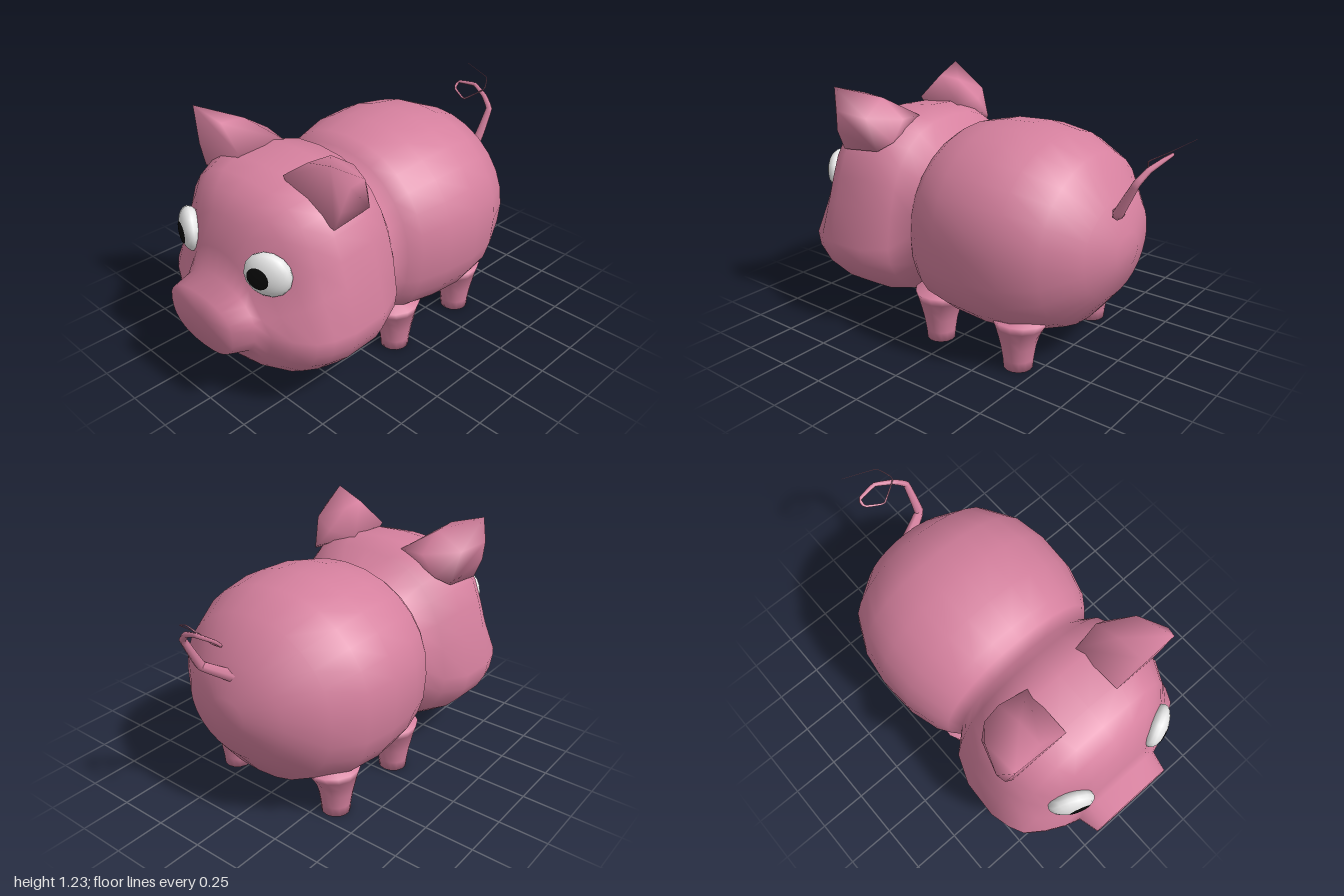
import * as THREE from 'three';
import { mergeVertices } from 'three/addons/utils/BufferGeometryUtils.js';
import { ConvexGeometry } from 'three/addons/geometries/ConvexGeometry.js';

// Skin over cross-sections, ordered back to front:
// [z, halfWidth, bottom, widestY, top, upperRoundness, lowerRoundness, pinch of the upper sides]
function loft(rings, sides = 28) {
  const pos = [], index = [];
  const bend = (v, n) => Math.sign(v) * Math.pow(Math.abs(v), 2 / n);
  for (const [z, w, bottom, mid, top, upper, lower, pinch = 0] of rings) {
    for (let j = 0; j < sides; j++) {
      const a = (j / sides) * Math.PI * 2, s = Math.sin(a);
      const n = s > 0 ? upper : lower;
      const t = bend(s, n);
      const squeeze = t > 0 ? 1 - pinch * Math.sin(Math.PI * t) : 1;
      pos.push(w * bend(Math.cos(a), n) * squeeze, mid + t * (t > 0 ? top - mid : mid - bottom), z);
    }
  }
  const last = rings.length - 1;
  for (let i = 0; i < last; i++) {
    for (let j = 0; j < sides; j++) {
      const a = i * sides + j, b = i * sides + (j + 1) % sides;
      index.push(a, b, b + sides, a, b + sides, a + sides);
    }
  }
  // end caps
  const centre = pos.length / 3;
  pos.push(0, rings[0][3], rings[0][0] - 0.005, 0, rings[last][3], rings[last][0]);
  for (let j = 0; j < sides; j++) {
    const k = (j + 1) % sides;
    index.push(centre, k, j, centre + 1, last * sides + j, last * sides + k);
  }
  const geo = new THREE.BufferGeometry();
  geo.setAttribute('position', new THREE.Float32BufferAttribute(pos, 3));
  geo.setIndex(index);
  geo.computeVertexNormals();
  return geo;
}

// Curly tail: a tube that thins towards its end
function tailGeometry() {
  const path = new THREE.CatmullRomCurve3([
    [-0.02, 0.75, -0.70], [0.13, 0.79, -0.775], [0.135, 0.95, -0.86], [0.08, 1.0, -0.885],
    [-0.01, 1.035, -0.915], [-0.112, 1.03, -0.90], [-0.112, 1.0, -0.87], [-0.02, 0.97, -0.835],
    [0.08, 1.04, -0.88], [0.04, 1.08, -0.95], [-0.13, 1.11, -0.998],
  ].map(p => new THREE.Vector3(...p)), false, 'catmullrom', 0.1);
  const steps = 60, sides = 6;
  const geo = new THREE.TubeGeometry(path, steps, 1, sides);
  const pos = geo.attributes.position, v = new THREE.Vector3();
  for (let i = 0; i <= steps; i++) {
    const u = i / steps, c = path.getPointAt(u);
    const r = 0.032 * Math.pow(1 - u, 1.9) + 0.001;
    for (let j = 0; j <= sides; j++) {
      const k = i * (sides + 1) + j;
      v.fromBufferAttribute(pos, k).sub(c).multiplyScalar(r).add(c);
      pos.setXYZ(k, v.x, v.y, v.z);
    }
  }
  return geo;
}

// Wedge-shaped ear with a flat front and a rounded back
function earGeometry(side) {
  const points = [
    [0.15, 1.08, 0.62], [0.29, 1.18, 0.60], [0.455, 1.23, 0.63], [0.505, 1.13, 0.57],
    [0.48, 1.02, 0.60], [0.44, 0.92, 0.60], [0.20, 0.98, 0.60],
    [0.145, 1.07, 0.36], [0.29, 1.17, 0.47], [0.45, 1.10, 0.43],
    [0.29, 1.08, 0.335], [0.37, 0.98, 0.33], [0.43, 0.94, 0.38],
  ].map(([x, y, z]) => new THREE.Vector3(side * x, y, z));
  const hull = new ConvexGeometry(points);
  hull.deleteAttribute('normal');
  const geo = mergeVertices(hull);
  geo.computeVertexNormals();
  return geo;
}

// Leg with a rounded foot, flaring and leaning inwards where it meets the belly
function legGeometry(side) {
  const profile = [[0, 0], [0.071, 0], [0.075, 0.05], [0.086, 0.12], [0.1, 0.17], [0.122, 0.215], [0.145, 0.255], [0, 0.29]]
    .map(p => new THREE.Vector2(...p));
  const geo = new THREE.LatheGeometry(profile, 14);
  const pos = geo.attributes.position;
  for (let i = 0; i < pos.count; i++) {
    pos.setX(i, pos.getX(i) - side * 0.3 * Math.max(0, pos.getY(i) - 0.16));
  }
  return geo;
}

export function createModel() {
  const pink = new THREE.MeshStandardMaterial({ color: 0xd5809e });
  pink.name = 'pink skin';
  const white = new THREE.MeshStandardMaterial({ color: 0xf0f0f0 });
  white.name = 'eye white';
  const black = new THREE.MeshStandardMaterial({ color: 0x0a0a0a });
  black.name = 'pupil black';

  const model = new THREE.Group();
  model.name = 'pig';
  const add = (name, geometry, material, parent = model) => {
    const mesh = new THREE.Mesh(geometry, material);
    mesh.name = name;
    parent.add(mesh);
    return mesh;
  };

  // One continuous skin: rump, belly, neck, head and snout
  add('bodyAndHead', loft([
    [-0.765, 0.10, 0.48, 0.57, 0.66, 2, 2],
    [-0.71, 0.29, 0.34, 0.58, 0.82, 2, 2],
    [-0.58, 0.45, 0.18, 0.59, 1.00, 2, 2.2],
    [-0.41, 0.53, 0.13, 0.60, 1.07, 2.1, 2.5],
    [-0.24, 0.555, 0.12, 0.60, 1.095, 2.1, 2.5],
    [-0.06, 0.545, 0.13, 0.60, 1.085, 2.1, 2.5],
    [0.09, 0.50, 0.15, 0.59, 1.05, 2.1, 2.6],
    [0.15, 0.46, 0.175, 0.57, 1.01, 2.1, 2.5],
    [0.20, 0.415, 0.205, 0.54, 0.95, 2.2, 2.3],
    [0.27, 0.50, 0.14, 0.48, 1.06, 2.4, 2.1, 0.04],
    [0.41, 0.555, 0.11, 0.46, 1.09, 2.7, 2.1, 0.07],
    [0.60, 0.565, 0.11, 0.46, 1.07, 2.7, 2.1, 0.08],
    [0.70, 0.54, 0.125, 0.46, 1.04, 2.5, 2.1, 0.12],
    [0.77, 0.505, 0.145, 0.46, 0.99, 2.2, 2.1, 0.18],
    [0.83, 0.42, 0.18, 0.46, 0.91, 1.9, 2.1, 0.28],
    [0.875, 0.33, 0.23, 0.46, 0.76, 1.9, 2.1, 0.25],
    [0.90, 0.25, 0.28, 0.46, 0.63, 2.1, 2.4],
    [1.00, 0.225, 0.315, 0.46, 0.59, 2.4, 2.4],
  ]), pink);

  // Flattened eyeball with a pupil cap just proud of its surface
  const eyeball = new THREE.SphereGeometry(1, 14, 10).rotateX(Math.PI / 2).scale(0.112, 0.106, 0.054);

  for (const side of [1, -1]) {
    const label = side > 0 ? 'left' : 'right';
    const leg = legGeometry(side);
    for (const [place, z] of [['Front', 0.085], ['Rear', -0.395]]) {
      add(label + place + 'Leg', leg, pink).position.set(side * 0.328, 0, z);
    }
    add(label + 'Ear', earGeometry(side), pink);

    const eye = new THREE.Group();
    eye.name = label + 'Eye';
    eye.position.set(side * 0.275, 0.736, 0.828);
    eye.rotation.y = side * 0.45;
    const pupil = new THREE.SphereGeometry(1.03, 18, 4, 0, Math.PI * 2, 0, 0.5)
      .rotateX(Math.PI / 2).rotateY(-side * 0.28).scale(0.112, 0.106, 0.054);
    add(label + 'Eyeball', eyeball, white, eye);
    add(label + 'Pupil', pupil, black, eye);
    model.add(eye);
  }

  add('tail', tailGeometry(), pink);
  return model;
}
